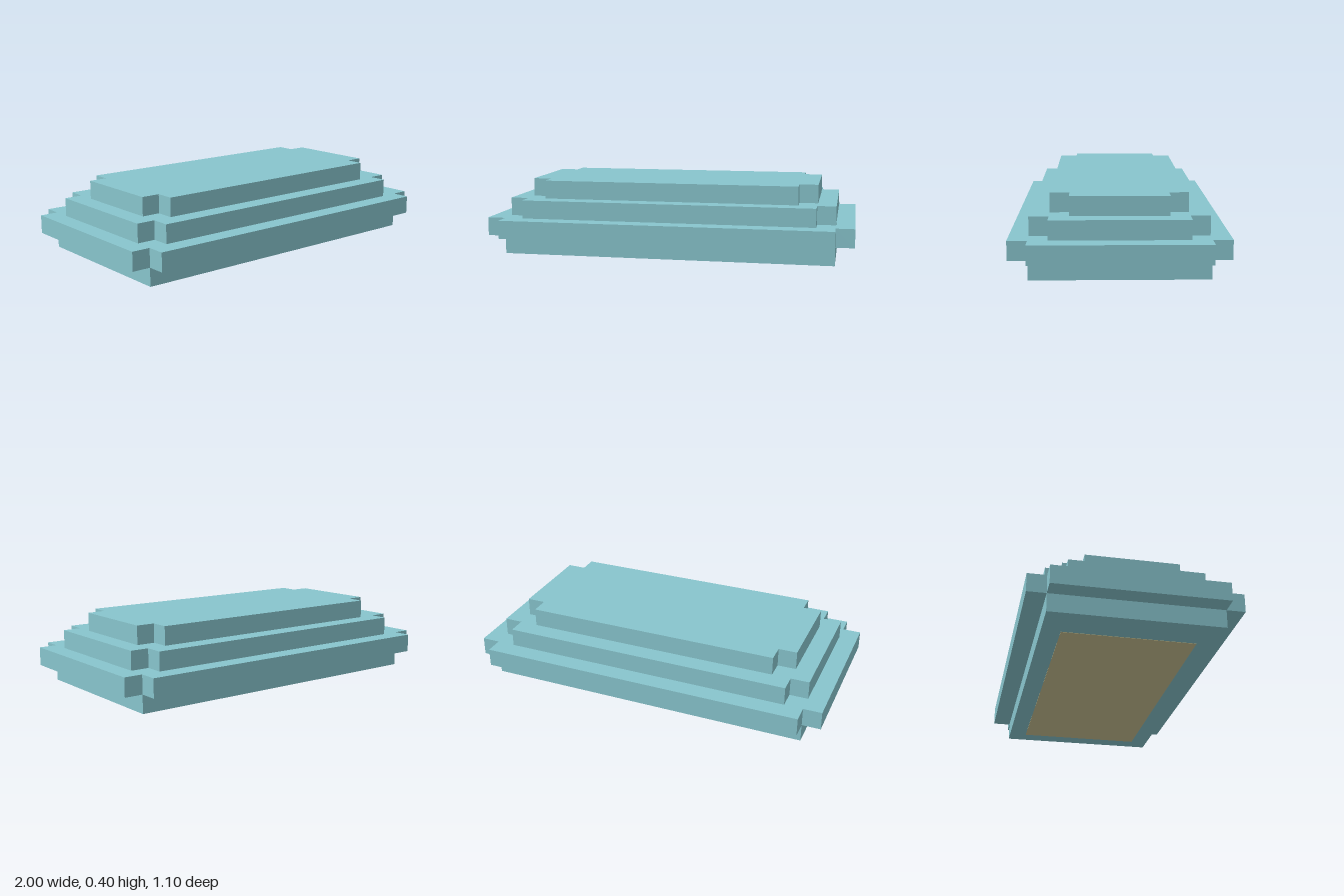
import * as THREE from 'three';

const teal = new THREE.MeshStandardMaterial({ name: 'teal', color: 0x88c5cd });
const sand = new THREE.MeshStandardMaterial({ name: 'sand', color: 0xc8c191 });

const TIER = 0.1; // height of each layer, also the size of the corner notches

// Slab with a square notch cut out of each corner
function notchedSlab(name, hx, hz, y) {
  const n = TIER;
  const outline = [
    [hx, -hz + n], [hx, hz - n], [hx - n, hz - n], [hx - n, hz],
    [-hx + n, hz], [-hx + n, hz - n], [-hx, hz - n], [-hx, -hz + n],
    [-hx + n, -hz + n], [-hx + n, -hz], [hx - n, -hz], [hx - n, -hz + n],
  ].map(([x, z]) => new THREE.Vector2(x, z));
  const geometry = new THREE.ExtrudeGeometry(new THREE.Shape(outline), { depth: TIER, bevelEnabled: false });
  geometry.rotateX(-Math.PI / 2);
  const mesh = new THREE.Mesh(geometry, teal);
  mesh.name = name;
  mesh.position.y = y;
  return mesh;
}

export function createModel() {
  const group = new THREE.Group();
  group.name = 'steppedSlab';

  // Plain rectangular base, raised a hair above the underside patch
  const gap = 0.002;
  const base = new THREE.Mesh(new THREE.BoxGeometry(1.8, TIER - gap, 0.9), teal);
  base.name = 'base';
  base.position.y = (TIER + gap) / 2;
  group.add(base);

  // Notched tiers, each one step smaller than the one below
  ['lowerTier', 'middleTier', 'upperTier'].forEach((name, i) => {
    group.add(notchedSlab(name, 1 - i * TIER, 0.55 - i * TIER, (i + 1) * TIER));
  });

  // Sand coloured patch on the underside, slightly off centre
  const patch = new THREE.Mesh(new THREE.BoxGeometry(1.5, 0.004, 0.7), sand);
  patch.name = 'undersidePatch';
  patch.position.set(0.05, 0.002, 0);
  group.add(patch);

  return group;
}
